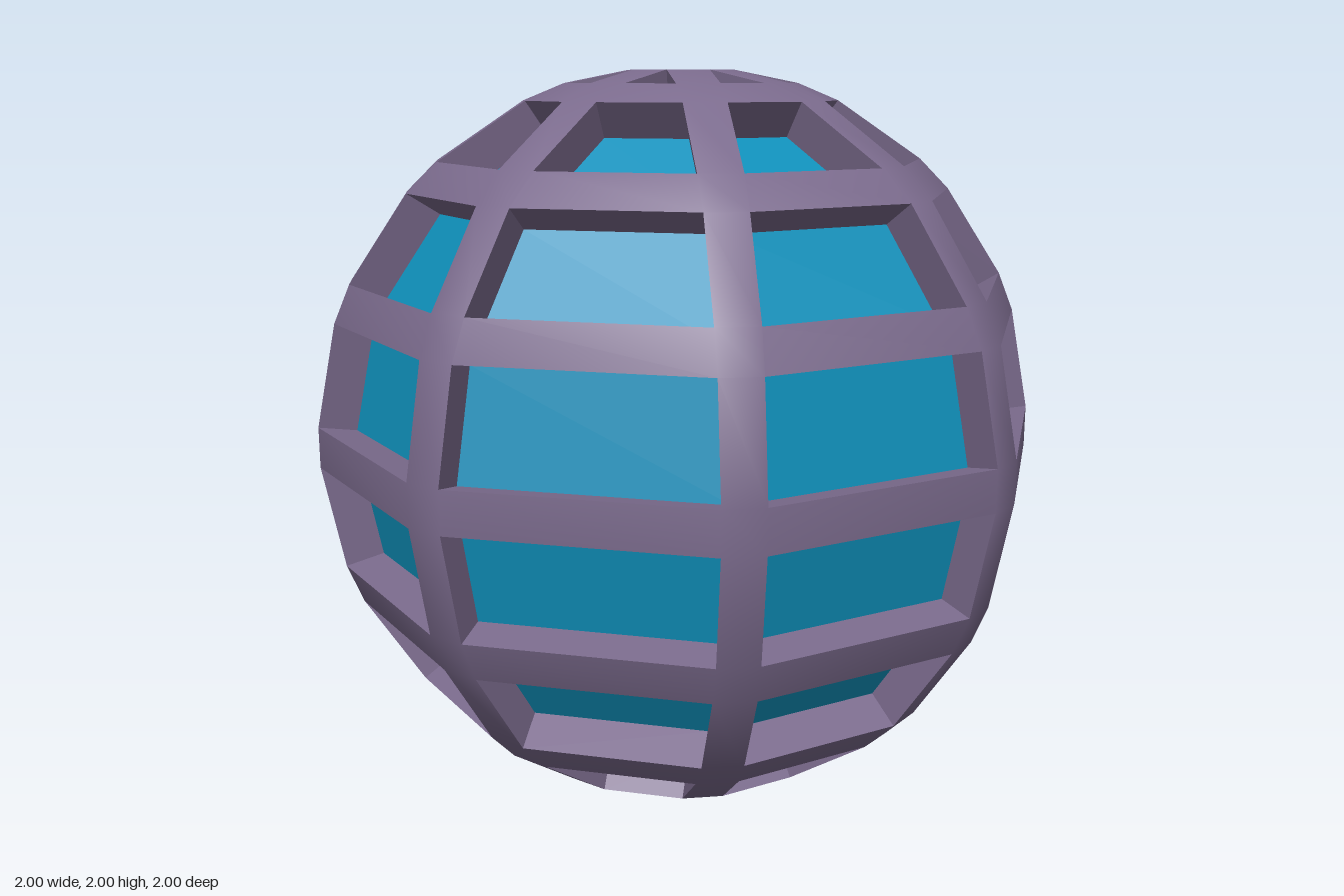
import * as THREE from 'three';
import { mergeVertices } from 'three/addons/utils/BufferGeometryUtils.js';

const N = 8;          // sectors and rings
const R = 1.032;      // radius of the uncut faceted sphere
const INSET = 0.057;  // half the bar width
const DEPTH = 0.11;   // how far the panes sit below the bars

const ringPoint = (j, i) => new THREE.Vector3().setFromSphericalCoords(R, j * Math.PI / N, i * 2 * Math.PI / N);

// Shrinks a flat polygon by a constant margin
function insetPolygon(pts, d) {
  return pts.map((p, k) => {
    const u = pts[(k + 1) % pts.length].clone().sub(p).normalize();
    const v = pts[(k + pts.length - 1) % pts.length].clone().sub(p).normalize();
    const s = d / Math.sin(u.angleTo(v));
    return p.clone().addScaledVector(u, s).addScaledVector(v, s);
  });
}

// Adds a convex polygon as a triangle fan
function addPolygon(out, pts) {
  for (let k = 1; k < pts.length - 1; k++)
    for (const p of [pts[0], pts[k], pts[k + 1]]) out.push(p.x, p.y, p.z);
}

// Joins two matching loops with quads
function addBand(out, a, b) {
  a.forEach((p, k) => {
    const n = (k + 1) % a.length;
    addPolygon(out, [p, a[n], b[n], b[k]]);
  });
}

function makeMesh(name, positions, material, smooth = false) {
  let geometry = new THREE.BufferGeometry();
  geometry.setAttribute('position', new THREE.Float32BufferAttribute(positions, 3));
  if (smooth) geometry = mergeVertices(geometry, 1e-4);
  geometry.computeVertexNormals();
  const mesh = new THREE.Mesh(geometry, material);
  mesh.name = name;
  return mesh;
}

export function createModel() {
  const frameMaterial = new THREE.MeshStandardMaterial({ color: 0x7b6b8d });
  const paneMaterial = new THREE.MeshStandardMaterial({ color: 0x0f90ba });
  const bars = [], walls = [], panes = [], hubs = [];

  // Openings: one inset polygon per facet, triangles at the poles
  const cells = [];
  for (let j = 0; j < N; j++) {
    cells.push([]);
    for (let i = 0; i < N; i++) {
      const tl = ringPoint(j, i), bl = ringPoint(j + 1, i);
      const br = ringPoint(j + 1, i + 1), tr = ringPoint(j, i + 1);
      const corners = j === 0 ? [tl, bl, br] : j === N - 1 ? [tl, bl, tr] : [tl, bl, br, tr];
      const hole = insetPolygon(corners, INSET);
      const [a, b, c, d] = hole;
      cells[j].push(j === 0 ? { tl: a, bl: b, br: c, tr: a }
        : j === N - 1 ? { tl: a, bl: b, br: b, tr: c }
        : { tl: a, bl: b, br: c, tr: d });

      // Recess walls and the pane at the bottom
      const normal = b.clone().sub(a).cross(c.clone().sub(a)).normalize();
      const floor = hole.map(p => p.clone().addScaledVector(normal, -DEPTH));
      addBand(walls, hole, floor);
      addPolygon(panes, floor);
    }
  }

  // Upright bars, level bars and the joints where they cross
  for (let j = 0; j < N; j++) {
    for (let i = 0; i < N; i++) {
      const c = cells[j][i], right = cells[j][(i + 1) % N];
      addPolygon(bars, [c.tr, c.br, right.bl, right.tl]);
      if (j === N - 1) continue;
      const below = cells[j + 1][i], diagonal = cells[j + 1][(i + 1) % N];
      addPolygon(bars, [c.bl, below.tl, below.tr, c.br]);
      addPolygon(bars, [c.br, below.tr, diagonal.tl, right.bl]);
    }
  }

  // Octagonal sunken hub at each pole
  for (const side of [1, -1]) {
    const rim = side > 0 ? cells[0].map(c => c.tl) : cells[N - 1].map(c => c.bl).reverse();
    const shrink = (s, drop) => rim.map(p => new THREE.Vector3(p.x * s, p.y - side * drop, p.z * s));
    const lip = shrink(0.91, 0), floor = shrink(0.8, 0.1);
    addBand(hubs, rim, lip);
    addBand(hubs, lip, floor);
    addPolygon(hubs, floor);
  }

  const model = new THREE.Group();
  model.name = 'latticeSphere';
  model.add(
    makeMesh('latticeBars', bars, frameMaterial, true),
    makeMesh('recessWalls', walls, frameMaterial),
    makeMesh('poleHubs', hubs, frameMaterial),
    makeMesh('panes', panes, paneMaterial),
  );
  for (const part of model.children) part.geometry.translate(0, 1, 0);
  return model;
}
